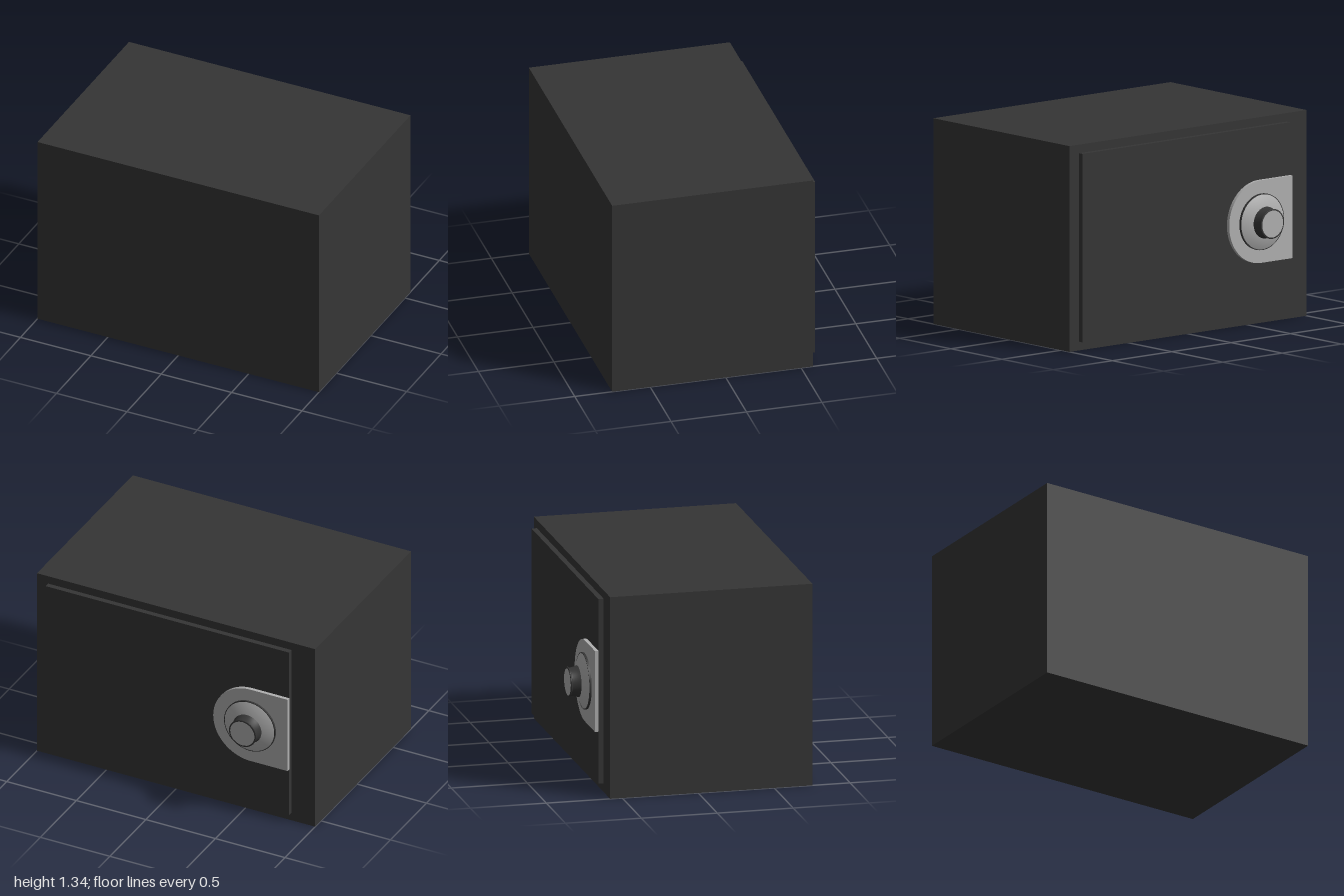
import * as THREE from 'three';
import { toCreasedNormals } from 'three/addons/utils/BufferGeometryUtils.js';

const paint = (name, color) => {
  const m = new THREE.MeshStandardMaterial({ color });
  m.name = name;
  return m;
};

export function createModel() {
  const safe = new THREE.Group();
  safe.name = 'safe';
  const darkSteel = paint('darkSteel', 0x353535);
  const brushedSteel = paint('brushedSteel', 0xb0b0b0);
  const dialX = -0.565, dialY = 0.67;

  const add = (name, geometry, material, parent = safe) => {
    const mesh = new THREE.Mesh(geometry, material);
    mesh.name = name;
    parent.add(mesh);
    return mesh;
  };

  // Box from its minimum and maximum corners
  const box = (name, a, b, material) => {
    const mesh = add(name, new THREE.BoxGeometry(b[0] - a[0], b[1] - a[1], b[2] - a[2]), material);
    mesh.position.set((a[0] + b[0]) / 2, (a[1] + b[1]) / 2, (a[2] + b[2]) / 2);
  };

  // Cabinet and raised door on the back face
  box('body', [-1, 0, -0.58], [1, 1.335, 0.752], darkSteel);
  box('door', [-0.83, 0.057, -0.615], [0.92, 1.28, -0.58], darkSteel);

  // Lock plate: square at the door edge, round on the inner side
  const r = 0.268;
  const outline = new THREE.Shape();
  outline.moveTo(-0.832, dialY - r);
  outline.lineTo(dialX, dialY - r);
  outline.absarc(dialX, dialY, r, -Math.PI / 2, Math.PI / 2, false);
  outline.lineTo(-0.832, dialY + r);
  outline.closePath();
  const plate = new THREE.ExtrudeGeometry(outline, { depth: 0.023, bevelEnabled: false, curveSegments: 32 });
  add('lockPlate', plate, brushedSteel).position.z = -0.638;

  // Combination dial, turned around an axis pointing out of the door
  const dial = new THREE.Group();
  dial.name = 'dial';
  dial.position.set(dialX, dialY, -0.638);
  dial.rotation.x = -Math.PI / 2;
  safe.add(dial);
  const turned = (name, profile, material) => {
    const points = profile.map(([x, y]) => new THREE.Vector2(x, y));
    add(name, toCreasedNormals(new THREE.LatheGeometry(points, 48), 0.5), material, dial);
  };
  turned('dialRim', [[0.183, 0], [0.183, 0.014], [0.176, 0.014]], darkSteel);
  turned('dialCone', [[0.178, 0.014], [0.102, 0.047], [0.08, 0.047]], brushedSteel);
  turned('knobGrip', [
    [0.103, 0.046], [0.098, 0.06], [0.09, 0.095], [0.09, 0.102],
    [0.097, 0.107], [0.097, 0.112], [0.092, 0.114], [0.087, 0.114],
  ], darkSteel);
  turned('knobCap', [[0.088, 0.114], [0, 0.114]], brushedSteel);

  return safe;
}
